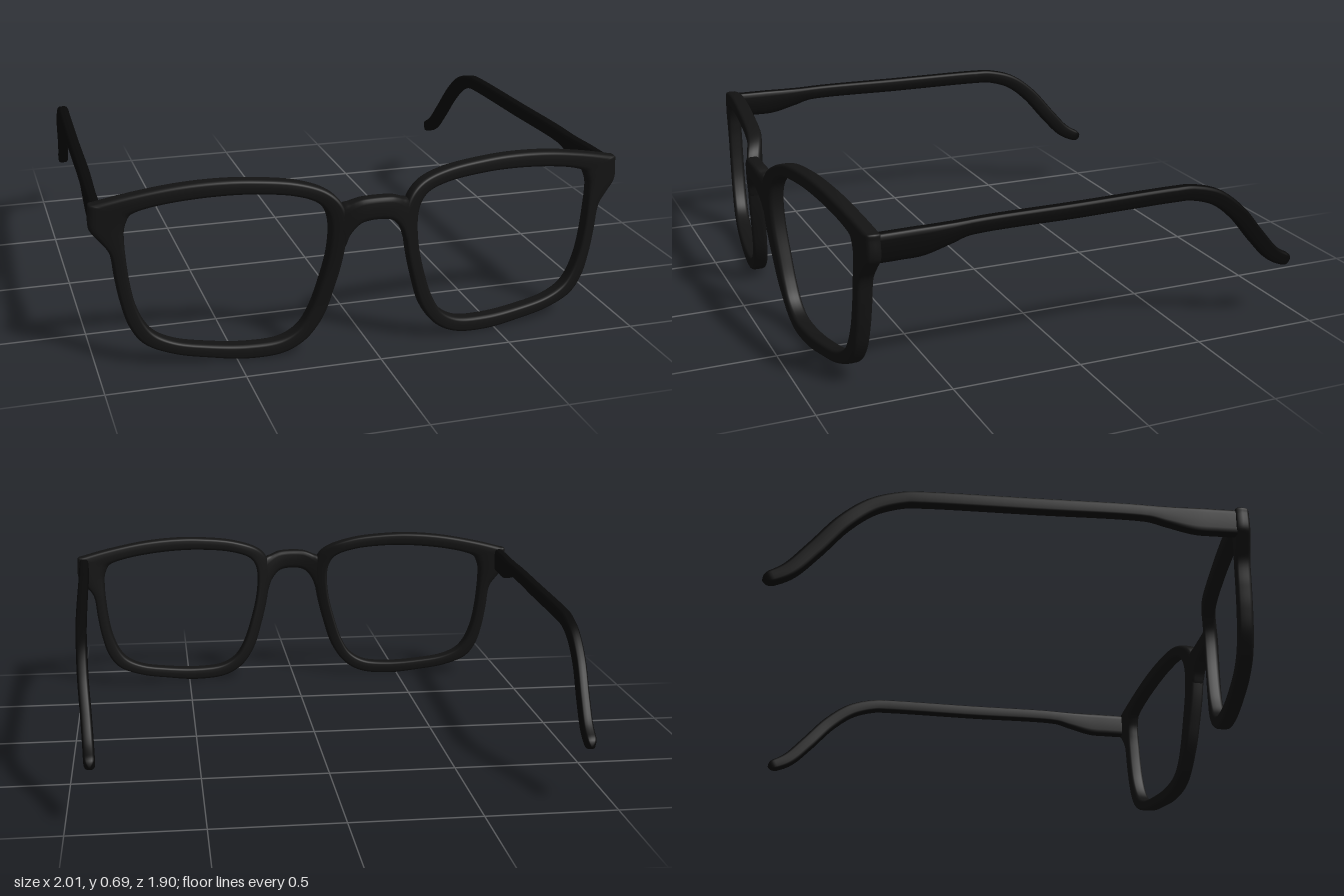
import * as THREE from 'three';

const frameMaterial = new THREE.MeshStandardMaterial({ color: 0x131313 });
const templeMaterial = new THREE.MeshStandardMaterial({ color: 0x080808 });
const V = (x, y, z = 0) => new THREE.Vector3(x, y, z);
const soft = (v) => Math.sign(v) * Math.abs(v) ** 0.5;

// Skin rounded-rectangle sections { c: centre, u, v: half axes }; open lofts get end caps
function loft(name, material, sections, closed = false, sides = 20) {
  const list = [...sections];
  // Turn the faces outward whichever way the sections run
  const step = list[1].c.clone().sub(list[0].c);
  const flip = V(0, 0).crossVectors(list[0].u, list[0].v).dot(step) < 0;
  if (closed) list.push(list[0]);
  else {
    const cap = (s) => ({ c: s.c, u: V(0, 0), v: V(0, 0) });
    list.unshift(cap(list[0]));
    list.push(cap(list[list.length - 1]));
  }
  const vertices = [], index = [];
  const rings = closed ? list.length - 1 : list.length;
  for (let i = 0; i < rings; i++) {
    const { c, u, v } = list[i];
    for (let j = 0; j < sides; j++) {
      const a = (j / sides) * Math.PI * 2;
      const p = c.clone().addScaledVector(u, soft(Math.cos(a))).addScaledVector(v, soft(Math.sin(a)));
      vertices.push(p.x, p.y, p.z);
    }
  }
  for (let i = 0; i < list.length - 1; i++) {
    for (let j = 0; j < sides; j++) {
      const k = (j + 1) % sides, next = ((i + 1) % rings) * sides;
      const p = i * sides + j, q = i * sides + k, r = next + j, s = next + k;
      if (flip) index.push(p, r, q, q, r, s);
      else index.push(p, q, r, q, s, r);
    }
  }
  const geometry = new THREE.BufferGeometry();
  geometry.setAttribute('position', new THREE.Float32BufferAttribute(vertices, 3));
  geometry.setIndex(index);
  geometry.computeVertexNormals();
  const mesh = new THREE.Mesh(geometry, material);
  mesh.name = name;
  return mesh;
}

// Depth of the front as it wraps round the face, bulging forward at the bridge
const bend = (x) => 0.872 - 0.097 * Math.abs(x) ** 1.7 + 0.048 * Math.exp(-((Math.abs(x) / 0.155) ** 3));

// Rim stations: outer x, y and inner x, y, from the nose over the top, endpiece and bottom
const RIM = [
  [0.105, 0.52, 0.166, 0.5], [0.125, 0.585, 0.178, 0.55], [0.17, 0.628, 0.207, 0.585],
  [0.28, 0.667, 0.29, 0.615], [0.44, 0.687, 0.44, 0.632], [0.56, 0.69, 0.56, 0.632],
  [0.7, 0.68, 0.7, 0.62], [0.865, 0.652, 0.8, 0.602], [0.98, 0.625, 0.85, 0.585],
  [0.998, 0.62, 0.862, 0.575], [1, 0.6, 0.87, 0.56], [1, 0.53, 0.88, 0.53],
  [0.97, 0.49, 0.882, 0.48], [0.935, 0.44, 0.88, 0.43], [0.92, 0.34, 0.87, 0.33],
  [0.905, 0.25, 0.852, 0.24], [0.877, 0.155, 0.82, 0.165], [0.83, 0.09, 0.785, 0.125],
  [0.73, 0.045, 0.72, 0.093], [0.6, 0.02, 0.6, 0.071], [0.465, 0.004, 0.46, 0.06],
  [0.33, 0.016, 0.34, 0.071], [0.25, 0.06, 0.275, 0.11], [0.19, 0.142, 0.235, 0.175],
  [0.15, 0.26, 0.202, 0.27], [0.118, 0.395, 0.172, 0.395],
];

function createRim(side) {
  const outer = new THREE.CatmullRomCurve3(RIM.map(([x, y]) => V(x, y)), true);
  const inner = new THREE.CatmullRomCurve3(RIM.map(([, , x, y]) => V(x, y)), true);
  const count = RIM.length * 8, sections = [];
  for (let i = 0; i < count; i++) {
    const [o, n] = [outer, inner].map((curve) => {
      const p = curve.getPoint(i / count);
      return V(side * p.x, p.y, bend(p.x));
    });
    sections.push({
      c: o.clone().add(n).multiplyScalar(0.5),
      u: o.clone().sub(n).multiplyScalar(0.5),
      v: V(0, 0, 0.03),
    });
  }
  return loft(side > 0 ? 'leftRim' : 'rightRim', frameMaterial, sections, true);
}

// Bridge: half stations of x, y, half height, with the ends buried in the rims
function createBridge() {
  const half = [[0, 0.562, 0.042], [0.055, 0.556, 0.045], [0.08, 0.542, 0.052],
    [0.1, 0.523, 0.063], [0.12, 0.495, 0.085], [0.145, 0.49, 0.07]];
  const stations = [...half.slice(1).reverse().map(([x, y, h]) => [-x, y, h]), ...half];
  // The curve's z carries the half height
  const curve = new THREE.CatmullRomCurve3(stations.map((s) => V(...s)));
  const sections = curve.getPoints(60).map((p) => ({
    c: V(p.x, p.y, bend(p.x)), u: V(0, p.z, 0), v: V(0, 0, 0.0295),
  }));
  return loft('bridge', frameMaterial, sections);
}

// Temple stations from hinge to ear tip: x, y, z, half height
const TEMPLE = [
  [0.972, 0.564, 0.78, 0.053], [0.969, 0.564, 0.68, 0.053], [0.967, 0.565, 0.6, 0.052],
  [0.963, 0.577, 0.5, 0.039], [0.96, 0.588, 0.42, 0.029], [0.95, 0.588, 0, 0.029],
  [0.938, 0.588, -0.4, 0.029], [0.935, 0.584, -0.47, 0.029], [0.93, 0.55, -0.58, 0.031],
  [0.925, 0.475, -0.68, 0.032], [0.915, 0.362, -0.78, 0.032], [0.908, 0.275, -0.865, 0.03],
  [0.903, 0.232, -0.95, 0.024],
];

function createTemple(side) {
  const path = new THREE.CatmullRomCurve3(TEMPLE.map(([x, y, z]) => V(side * x, y, z)));
  const heights = new THREE.CatmullRomCurve3(TEMPLE.map((s) => V(s[3], 0)), false, 'catmullrom');
  const rings = 144, sections = [];
  for (let i = 0; i <= rings; i++) {
    const t = i / rings, d = path.getTangent(t);
    const tip = Math.max(0, (t - 0.97) / 0.03);
    const scale = Math.sqrt(1 - 0.96 * tip * tip); // rounds off the ear tip
    sections.push({
      c: path.getPoint(t),
      u: V(0.021 * scale, 0, 0),
      v: V(0, -d.z, d.y).setLength(heights.getPoint(t).x * scale),
    });
  }
  return loft(side > 0 ? 'leftTemple' : 'rightTemple', templeMaterial, sections);
}

export function createModel() {
  const group = new THREE.Group();
  group.name = 'eyeglasses';
  group.add(createBridge());
  for (const side of [1, -1]) group.add(createRim(side), createTemple(side));
  return group;
}
